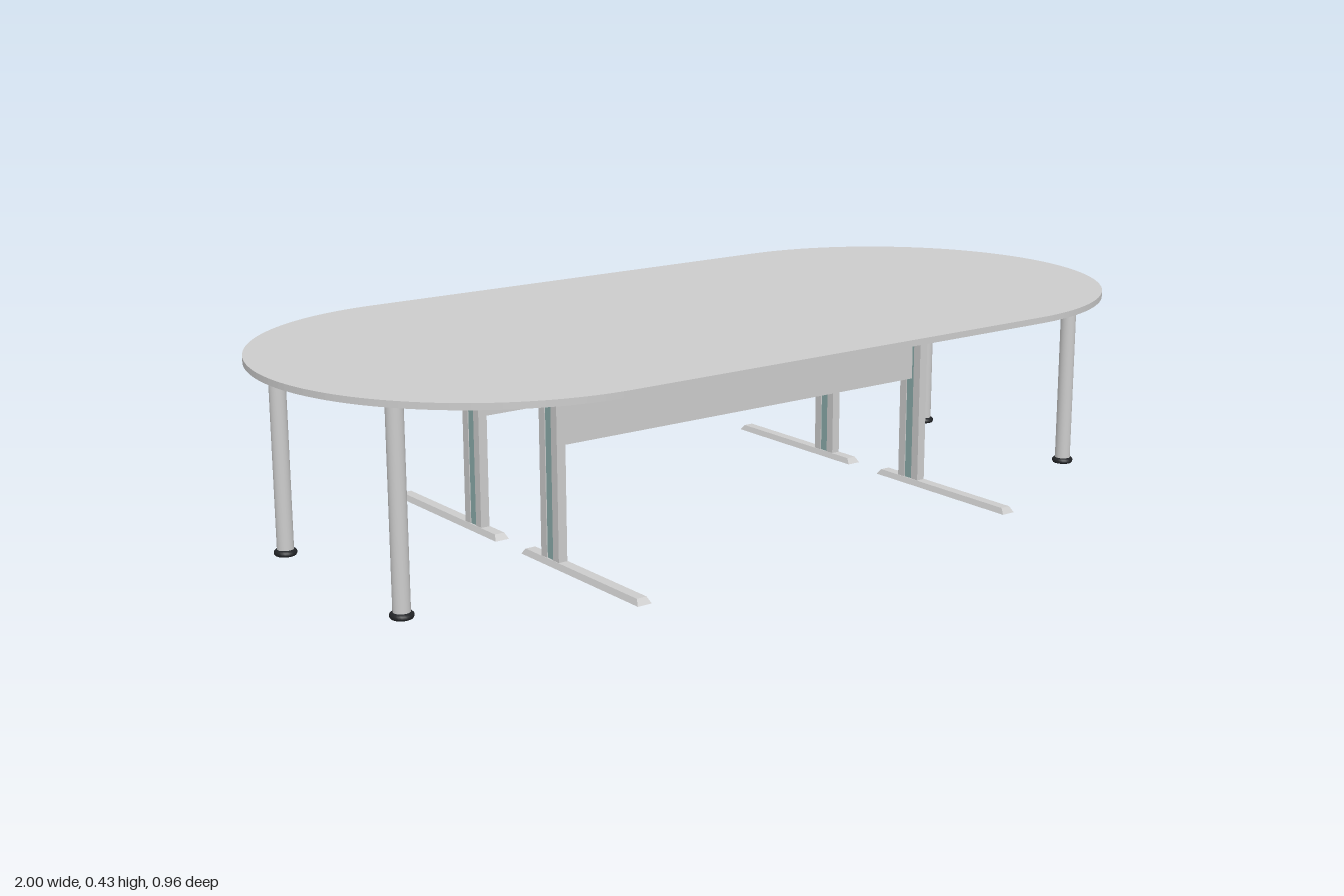
import * as THREE from 'three';

const grey = new THREE.MeshStandardMaterial({ color: 0xcccccc });
const teal = new THREE.MeshStandardMaterial({ color: 0x8aaba9 });
const black = new THREE.MeshStandardMaterial({ color: 0x222427 });

function add(parent, name, geometry, material, x = 0, y = 0, z = 0) {
  const mesh = new THREE.Mesh(geometry, material);
  mesh.name = name;
  mesh.position.set(x, y, z);
  parent.add(mesh);
  return mesh;
}

// Flat bar along z whose upper face is narrower and shorter than its base
function bevelledBar(width, height, length) {
  const geo = new THREE.BoxGeometry(width, height, length).toNonIndexed();
  const p = geo.attributes.position;
  for (let i = 0; i < p.count; i++) {
    if (p.getY(i) > 0) {
      p.setX(i, p.getX(i) * 0.7);
      p.setZ(i, p.getZ(i) - Math.sign(p.getZ(i)) * 0.01);
    }
  }
  geo.computeVertexNormals();
  return geo;
}

// Stadium-shaped table top
function topGeometry() {
  const r = 0.478, s = 1 - r;
  const shape = new THREE.Shape();
  shape.moveTo(-s, -r);
  shape.lineTo(s, -r);
  shape.absarc(s, 0, r, -Math.PI / 2, Math.PI / 2);
  shape.lineTo(-s, r);
  shape.absarc(-s, 0, r, Math.PI / 2, Math.PI * 1.5);
  const geo = new THREE.ExtrudeGeometry(shape, { depth: 0.013, bevelEnabled: false, curveSegments: 40 });
  return geo.rotateX(-Math.PI / 2);
}

// T-shaped leg: floor bar, column with inset strip, bar under the top
function tLeg() {
  const leg = new THREE.Group();
  leg.name = 'tLeg';
  const bar = bevelledBar(0.032, 0.012, 0.4);
  add(leg, 'floorBar', bar, grey, 0, 0.006, 0.248);
  add(leg, 'topBar', bar, grey, 0, 0.406, 0.248).rotation.z = Math.PI;
  for (const z of [0.123, 0.165]) {
    add(leg, 'columnProfile', new THREE.BoxGeometry(0.02, 0.388, 0.02), grey, 0, 0.206, z);
  }
  add(leg, 'columnStrip', new THREE.BoxGeometry(0.016, 0.388, 0.022), teal, 0, 0.206, 0.144);
  return leg;
}

// Round pole with a black foot
function pole() {
  const group = new THREE.Group();
  group.name = 'poleLeg';
  add(group, 'pole', new THREE.CylinderGeometry(0.017, 0.017, 0.404, 24), grey, 0, 0.21, 0);
  const profile = [[0, 0], [0.021, 0], [0.023, 0.003], [0.023, 0.008], [0.019, 0.012], [0, 0.012]];
  const foot = new THREE.LatheGeometry(profile.map(([x, y]) => new THREE.Vector2(x, y)), 24);
  add(group, 'poleFoot', foot, black);
  return group;
}

export function createModel() {
  const table = new THREE.Group();
  table.name = 'conferenceTable';
  add(table, 'tableTop', topGeometry(), grey, 0, 0.412, 0);

  for (const sz of [-1, 1]) {
    for (const sx of [-1, 1]) {
      const leg = tLeg();
      leg.position.x = sx * 0.477;
      if (sz < 0) leg.rotation.y = Math.PI;
      table.add(leg);

      const p = pole();
      p.position.set(sx * 0.87, 0, sz * 0.233);
      table.add(p);
    }
    // Modesty panel between the columns
    add(table, 'modestyPanel', new THREE.BoxGeometry(0.936, 0.158, 0.01), grey, 0, 0.319, sz * 0.144);
  }
  return table;
}
